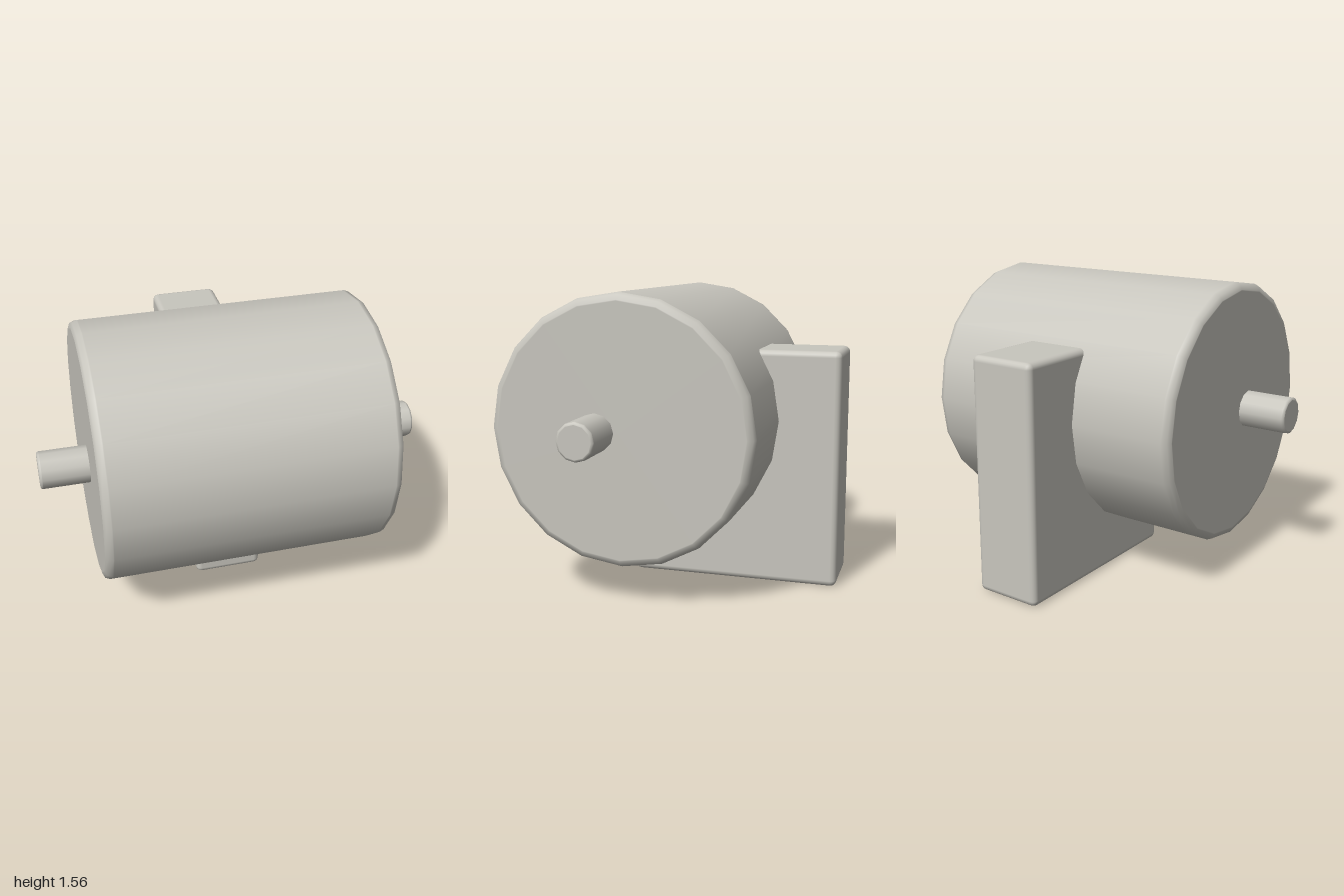
import * as THREE from 'three';
import { RoundedBoxGeometry } from 'three/addons/geometries/RoundedBoxGeometry.js';

// Solid bar along x with softly rounded rims
function roundedBar(radius, halfLength, bevel, sides) {
  const half = [
    [radius, halfLength - bevel * 1.15],
    [radius, halfLength - bevel],
    [radius - bevel * 0.3, halfLength - bevel * 0.3],
    [radius - bevel, halfLength],
    [radius - bevel * 1.15, halfLength],
    [0, halfLength],
  ];
  const lower = half.map(([r, y]) => [r, -y]).reverse();
  const profile = [...lower, ...half].map(([r, y]) => new THREE.Vector2(r, y));
  return new THREE.LatheGeometry(profile, sides).rotateZ(-Math.PI / 2);
}

export function createModel() {
  const group = new THREE.Group();
  const paleGrey = new THREE.MeshStandardMaterial({ color: 0xc8c6be });
  paleGrey.name = 'paleGrey';

  const add = (name, geometry, y, z) => {
    const mesh = new THREE.Mesh(geometry, paleGrey);
    mesh.name = name;
    mesh.position.set(0, y, z);
    group.add(mesh);
  };

  // Large roller drum
  add('drum', roundedBar(0.682, 0.747, 0.036, 20), 0.88, 0.16);

  // Thin axle, set forward of the drum centre
  add('axle', roundedBar(0.097, 1, 0.012, 12), 0.88, 0.28);

  // Upright block behind and below the drum
  add('supportBlock', new RoundedBoxGeometry(0.37, 1.25, 1.12, 2, 0.032), 0.625, -0.28);

  return group;
}
